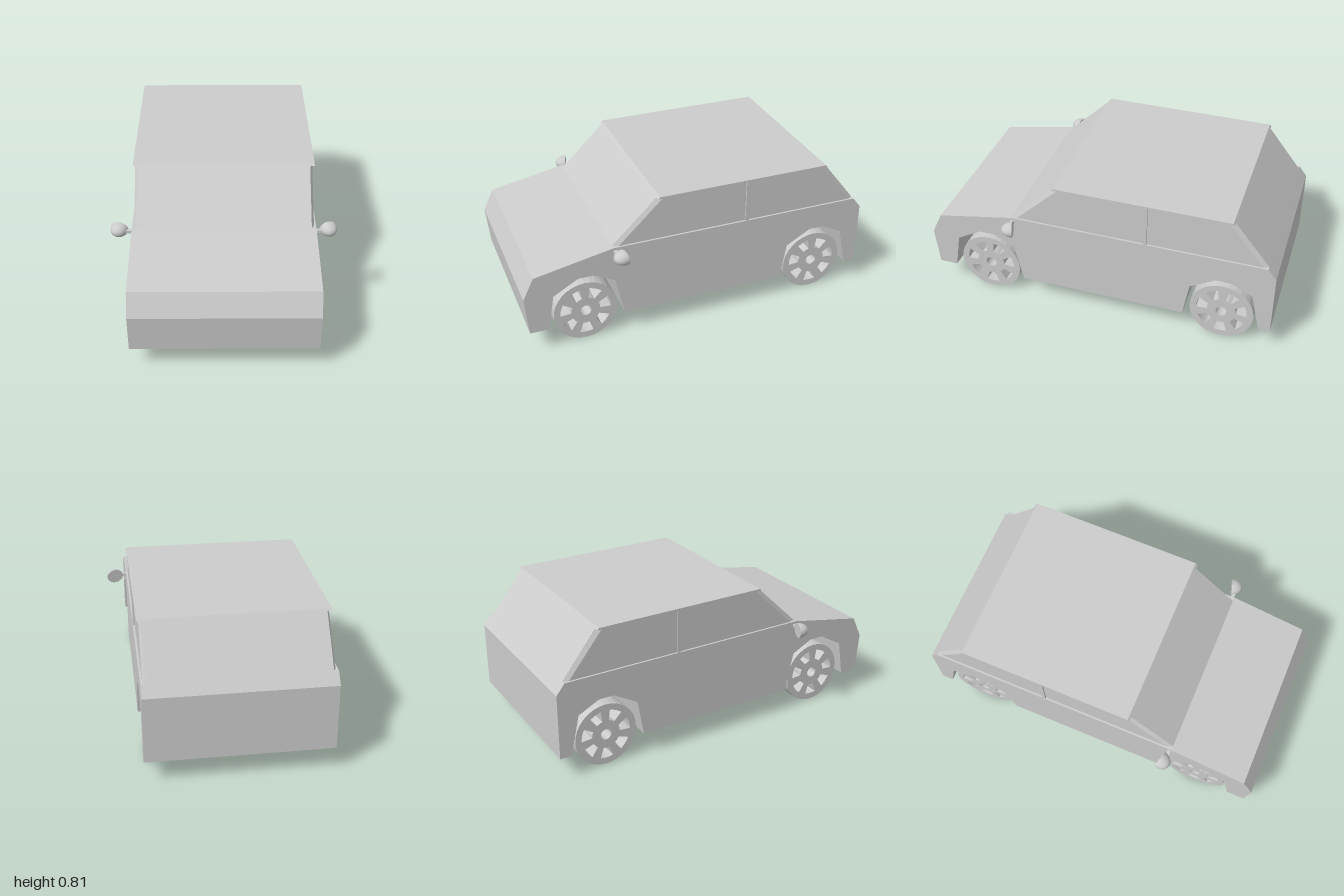
import * as THREE from 'three';

const grey = new THREE.MeshStandardMaterial({ color: 0xcccccc });
const grey2 = new THREE.MeshStandardMaterial({ color: 0xcccccc, side: THREE.DoubleSide });

function add(parent, name, geometry, material = grey) {
  const mesh = new THREE.Mesh(geometry, material);
  mesh.name = name;
  parent.add(mesh);
  return mesh;
}

// Extrude a side outline of [z, y] points from x0 to x1
function slab(points, x0, x1) {
  const shape = new THREE.Shape(points.map(([z, y]) => new THREE.Vector2(-z, y)));
  const g = new THREE.ExtrudeGeometry(shape, { depth: x1 - x0, bevelEnabled: false });
  return g.rotateY(Math.PI / 2).translate(x0, 0, 0);
}

// Four-sided frustum between two [z, y] outlines, closed at the outer end
function frustum(inner, xi, outer, xo) {
  const pos = [];
  const quad = (a, b, c, d) => pos.push(...a, ...b, ...c, ...a, ...c, ...d);
  const at = (p, x) => [x, p[1], p[0]];
  const s = xo > 0;
  for (let i = 0; i < 4; i++) {
    const j = (i + 1) % 4;
    const q = [at(inner[i], xi), at(inner[j], xi), at(outer[j], xo), at(outer[i], xo)];
    quad(...(s ? q : q.reverse()));
  }
  const cap = outer.map(p => at(p, xo));
  quad(...(s ? cap : cap.reverse()));
  const g = new THREE.BufferGeometry();
  g.setAttribute('position', new THREE.Float32BufferAttribute(pos, 3));
  g.computeVertexNormals();
  return g;
}

const FRONT_AXLE = 0.66, REAR_AXLE = -0.72, R = 0.18;

// Wheel with seven tapered openings and a hub bore
function wheelGeometry(width) {
  const shape = new THREE.Shape().absarc(0, 0, R, 0, Math.PI * 2);
  for (let i = 0; i < 7; i++) {
    const a = -Math.PI / 2 + (i * Math.PI * 2) / 7;
    const hole = new THREE.Path();
    hole.absarc(0, 0, 0.143, a - 0.26, a + 0.26, false);
    hole.absarc(0, 0, 0.082, a + 0.22, a - 0.22, true);
    hole.closePath();
    shape.holes.push(hole);
  }
  shape.holes.push(new THREE.Path().absarc(0, 0, 0.031, 0, Math.PI * 2, true));
  const g = new THREE.ExtrudeGeometry(shape, { depth: width, bevelEnabled: false, curveSegments: 16 });
  return g.translate(0, 0, -width / 2).rotateY(Math.PI / 2);
}

export function createModel() {
  const car = new THREE.Group();
  car.name = 'car';

  // Lower body: solid middle, and sides with faceted wheel arches
  const arch = c => [
    [0.215, 0.13], [0.18, 0.335], [0.04, 0.415], [-0.045, 0.415], [-0.165, 0.355], [-0.215, 0.13],
  ].map(([z, y]) => [c + z, y]);
  const upper = [[-1, 0.13], [-1, 0.5], [-0.953, 0.56], [0.5, 0.56], [0.94, 0.475], [1, 0.35], [0.98, 0.13]];
  const notched = [...upper, ...arch(FRONT_AXLE), ...arch(REAR_AXLE)];
  const wellX = 0.12;
  add(car, 'bodyMiddle', slab(upper, -wellX, wellX));
  add(car, 'bodyLeft', slab(notched, wellX, 0.5));
  add(car, 'bodyRight', slab(notched, -0.5, -wellX));

  // Cabin core with windscreen and rear window slopes
  add(car, 'cabin', slab([[0.5, 0.56], [0.235, 0.815], [-0.75, 0.815], [-0.953, 0.56]], -0.475, 0.475));
  add(car, 'roof', slab([[0.247, 0.804], [0.235, 0.815], [-0.75, 0.815], [-0.759, 0.804]], -0.5, 0.5));

  // Side glass with chamfered screen pillars, and centre pillars
  const inner = [[0.5, 0.56], [0.24, 0.81], [-0.752, 0.81], [-0.953, 0.56]];
  const outer = [[0.465, 0.56], [0.205, 0.81], [-0.722, 0.81], [-0.923, 0.56]];
  for (const s of [1, -1]) {
    const side = s > 0 ? 'Left' : 'Right';
    // Outlines run clockwise in [z, y], so they face outward on +x
    add(car, 'window' + side, frustum(inner, s * 0.475, outer, s * 0.489), grey2);
    add(car, 'centrePillar' + side, new THREE.BoxGeometry(0.02, 0.25, 0.022))
      .position.set(s * 0.488, 0.685, -0.28);

    // Door mirror: domed housing on a short stalk
    const mirror = new THREE.Group();
    mirror.name = 'mirror' + side;
    const dome = new THREE.SphereGeometry(1, 20, 10, 0, Math.PI * 2, 0, Math.PI / 2)
      .rotateX(Math.PI / 2).scale(0.05, 0.041, 0.062);
    add(mirror, 'mirrorHousing', dome);
    add(mirror, 'mirrorGlass', new THREE.CircleGeometry(1, 20).rotateY(Math.PI).scale(0.05, 0.041, 1));
    mirror.position.set(s * 0.567, 0.538, 0.46);
    mirror.rotation.y = s * 0.3;
    car.add(mirror);
    add(car, 'mirrorStalk' + side, new THREE.BoxGeometry(0.06, 0.016, 0.02))
      .position.set(s * 0.515, 0.538, 0.488);
  }

  // Wheels
  const wheel = wheelGeometry(0.195);
  for (const [z, end] of [[FRONT_AXLE, 'front'], [REAR_AXLE, 'rear']]) {
    for (const s of [1, -1]) {
      add(car, end + (s > 0 ? 'Left' : 'Right') + 'Wheel', wheel).position.set(s * 0.3775, R, z);
    }
  }
  return car;
}
